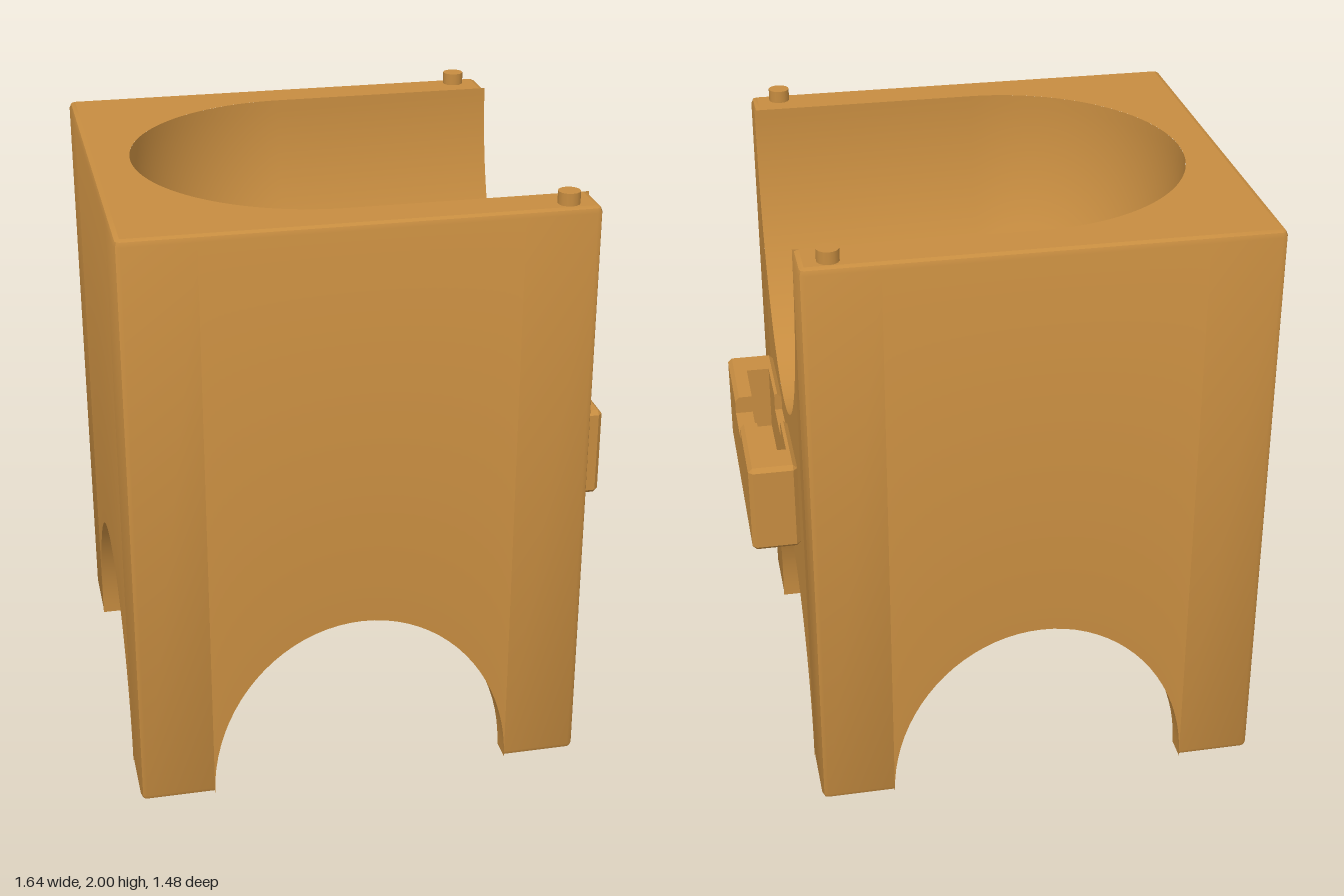
import * as THREE from 'three';
import { toCreasedNormals } from 'three/addons/utils/BufferGeometryUtils.js';

// Main sizes
const CX = -0.0825, HX = 0.7425, HZ = 0.74, TOP = 1.96;
const EDGE = 0.02, WALL = 0.08, CEILING = 1.06;
const ARCH = { r: 0.498, h: 0.6 };
const BOWL = { r: 0.59, depth: 0.82, axisX: -0.1 };

const clamp = THREE.MathUtils.clamp;
const ellipse = (s, r, h) => h * Math.sqrt(Math.max(0, 1 - (s / r) ** 2));

// Surface through columns of points: columns run right, rows run up, seen from outside
function loft(columns, closed) {
  const rows = columns[0].length, index = [];
  const last = closed ? columns.length : columns.length - 1;
  for (let i = 0; i < last; i++) {
    const k = (i + 1) % columns.length;
    for (let j = 0; j < rows - 1; j++) {
      const a = i * rows + j, b = k * rows + j;
      index.push(a, b, b + 1, a, b + 1, a + 1);
    }
  }
  const g = new THREE.BufferGeometry();
  g.setAttribute('position', new THREE.Float32BufferAttribute(columns.flat(2), 3));
  g.setIndex(index);
  g.computeVertexNormals();
  return g;
}

// Four walls with arches, inner faces and softened outer edges, as one ring of sections
function wallsGeometry() {
  const columns = [];
  const column = (x, z, nx, nz, lo, hi, bevelLow, bevelHigh) => {
    const ix = clamp(x, -HX + WALL, HX - WALL), iz = clamp(z, -HZ + WALL, HZ - WALL);
    const outer = (inset, y) => [CX + x - nx * inset, y, z - nz * inset];
    const bl = bevelLow ? EDGE : 0, bh = bevelHigh ? EDGE : 0, m = 0.293;
    columns.push([
      [CX + ix, CEILING, iz], [CX + ix, lo, iz],
      outer(bl, lo), outer(bl * m, lo + bl * m), outer(0, lo + bl),
      outer(0, hi - bh), outer(bh * m, hi - bh * m), outer(bh, hi),
    ]);
  };
  const normals = [[0, 1], [1, 0], [0, -1], [-1, 0]];
  normals.forEach(([nx, nz], side) => {
    const half = nx ? HZ : HX, dist = nx ? HX : HZ, end = half - EDGE;
    const isOpenSide = nx === 1;
    const stops = [-end, end];
    for (let i = 0; i <= 40; i++) {
      const c = -Math.cos((i / 40) * Math.PI);
      stops.push(c * ARCH.r);
      if (isOpenSide) stops.push(c * BOWL.r);
    }
    stops.sort((a, b) => a - b);
    const put = (s, inArch, inBowl) => column(
      nx * dist + nz * s, nz * dist - nx * s, nx, nz,
      inArch ? ellipse(s, ARCH.r, ARCH.h) : 0,
      inBowl ? TOP - ellipse(s, BOWL.r, BOWL.depth) : TOP, !inArch, !inBowl);
    for (const s of stops) {
      const inArch = Math.abs(s) <= ARCH.r, inBowl = isOpenSide && Math.abs(s) <= BOWL.r;
      const archEnd = Math.abs(s) === ARCH.r, bowlEnd = isOpenSide && Math.abs(s) === BOWL.r;
      // Doubled section where an opening starts or ends
      if (s < 0 && (archEnd || bowlEnd)) put(s, inArch && !archEnd, inBowl && !bowlEnd);
      put(s, inArch, inBowl);
      if (s > 0 && (archEnd || bowlEnd)) put(s, inArch && !archEnd, inBowl && !bowlEnd);
    }
    // Rounded vertical corner
    const [mx, mz] = normals[(side + 1) % 4];
    const kx = (nx + mx) * Math.SQRT1_2, kz = (nz + mz) * Math.SQRT1_2;
    column((nx + mx) * (HX - EDGE) + kx * EDGE, (nz + mz) * (HZ - EDGE) + kz * EDGE,
      kx, kz, 0, TOP, true, true);
  });
  return toCreasedNormals(loft(columns, true), 0.6);
}

// Trough ending in a rounded back
function bowlGeometry() {
  const columns = [];
  const section = (ax, dx, dz) => {
    const col = [];
    for (let j = 0; j <= 32; j++) {
      const a = (1 - j / 32) * Math.PI / 2, r = BOWL.r * Math.cos(a);
      col.push([ax + dx * r, TOP - BOWL.depth * Math.sin(a), dz * r]);
    }
    columns.push(col);
  };
  section(CX + HX, 0, 1);
  for (let i = 0; i <= 48; i++) {
    const a = (i / 48) * Math.PI;
    section(BOWL.axisX, -Math.sin(a), Math.cos(a));
  }
  section(CX + HX, 0, -1);
  return loft(columns, false);
}

// Flat U-shaped top around the bowl
function rimGeometry() {
  const x0 = CX - HX + EDGE, x1 = CX + HX - EDGE, z = HZ - EDGE;
  const s = new THREE.Shape();
  s.moveTo(x1, BOWL.r);
  s.lineTo(x1, z);
  s.lineTo(x0, z);
  s.lineTo(x0, -z);
  s.lineTo(x1, -z);
  s.lineTo(x1, -BOWL.r);
  s.lineTo(BOWL.axisX, -BOWL.r);
  s.absarc(BOWL.axisX, 0, BOWL.r, -Math.PI / 2, Math.PI / 2, true);
  return new THREE.ShapeGeometry(s, 48).rotateX(-Math.PI / 2).translate(0, TOP, 0);
}

// Slotted bracket in stacked layers, with chamfered outer edges
function bracket(material) {
  const group = new THREE.Group();
  group.name = 'slottedBracket';
  const hx = 0.08, hz = 0.405, c = 0.014, y0 = 0.8, y1 = 1.11;
  const slot = { x0: -0.055, x1: 0.022, z: 0.288 }, notch = 0.095;
  const poly = pts => new THREE.Shape(pts.map(p => new THREE.Vector2(...p)));
  const plan = () => poly([[-hx, -hz + c], [-hx + c, -hz], [hx - c, -hz], [hx, -hz + c],
    [hx, hz - c], [hx - c, hz], [-hx + c, hz], [-hx, hz - c]]);
  const framed = plan();
  framed.holes.push(poly([[slot.x0, -slot.z], [slot.x0, slot.z], [slot.x1, slot.z], [slot.x1, -slot.z]]));
  const jaw = k => poly([[-hx, notch * k], [slot.x0, notch * k], [slot.x0, slot.z * k],
    [slot.x1, slot.z * k], [slot.x1, notch * k], [hx, notch * k], [hx, (hz - c) * k],
    [hx - c, hz * k], [-hx + c, hz * k], [-hx, (hz - c) * k]]);
  const layer = (name, shape, from, to) => {
    const g = new THREE.ExtrudeGeometry(shape, { depth: to - from, bevelEnabled: false });
    g.rotateX(-Math.PI / 2).translate(0, from, 0);
    const p = g.attributes.position;
    for (let i = 0; i < p.count; i++) {
      const y = p.getY(i);
      if (Math.abs(y - y0) > 1e-4 && Math.abs(y - y1) > 1e-4) continue;
      p.setX(i, clamp(p.getX(i), -hx + c, hx - c));
      p.setZ(i, clamp(p.getZ(i), -hz + c, hz - c));
    }
    g.computeVertexNormals();
    const m = new THREE.Mesh(g, material);
    m.name = name;
    group.add(m);
  };
  layer('bracketFoot', plan(), y0, y0 + c);
  layer('bracketBase', plan(), y0 + c, 0.88);
  layer('bracketFrame', framed, 0.88, 1.05);
  for (const k of [-1, 1]) {
    layer('bracketJaw', jaw(k), 1.05, y1 - c);
    layer('bracketJawTop', jaw(k), y1 - c, y1);
  }
  group.position.x = 0.74;
  return group;
}

export function createModel() {
  const model = new THREE.Group();
  model.name = 'archedStand';
  const wood = new THREE.MeshStandardMaterial({ color: 0xc68c40 });
  wood.name = 'warmOchre';
  const add = (name, geometry) => {
    const m = new THREE.Mesh(geometry, wood);
    m.name = name;
    model.add(m);
    return m;
  };

  add('archedWalls', wallsGeometry());
  add('bowl', bowlGeometry());
  add('topRim', rimGeometry());
  add('ceiling', new THREE.PlaneGeometry(2 * (HX - WALL), 2 * (HZ - WALL))
    .rotateX(Math.PI / 2).translate(CX, CEILING, 0));

  // Locating pegs at the open end
  for (const k of [-1, 1]) {
    add('peg', new THREE.CylinderGeometry(0.035, 0.035, 0.05, 14)).position.set(0.565, 1.975, 0.683 * k);
  }
  model.add(bracket(wood));
  return model;
}
